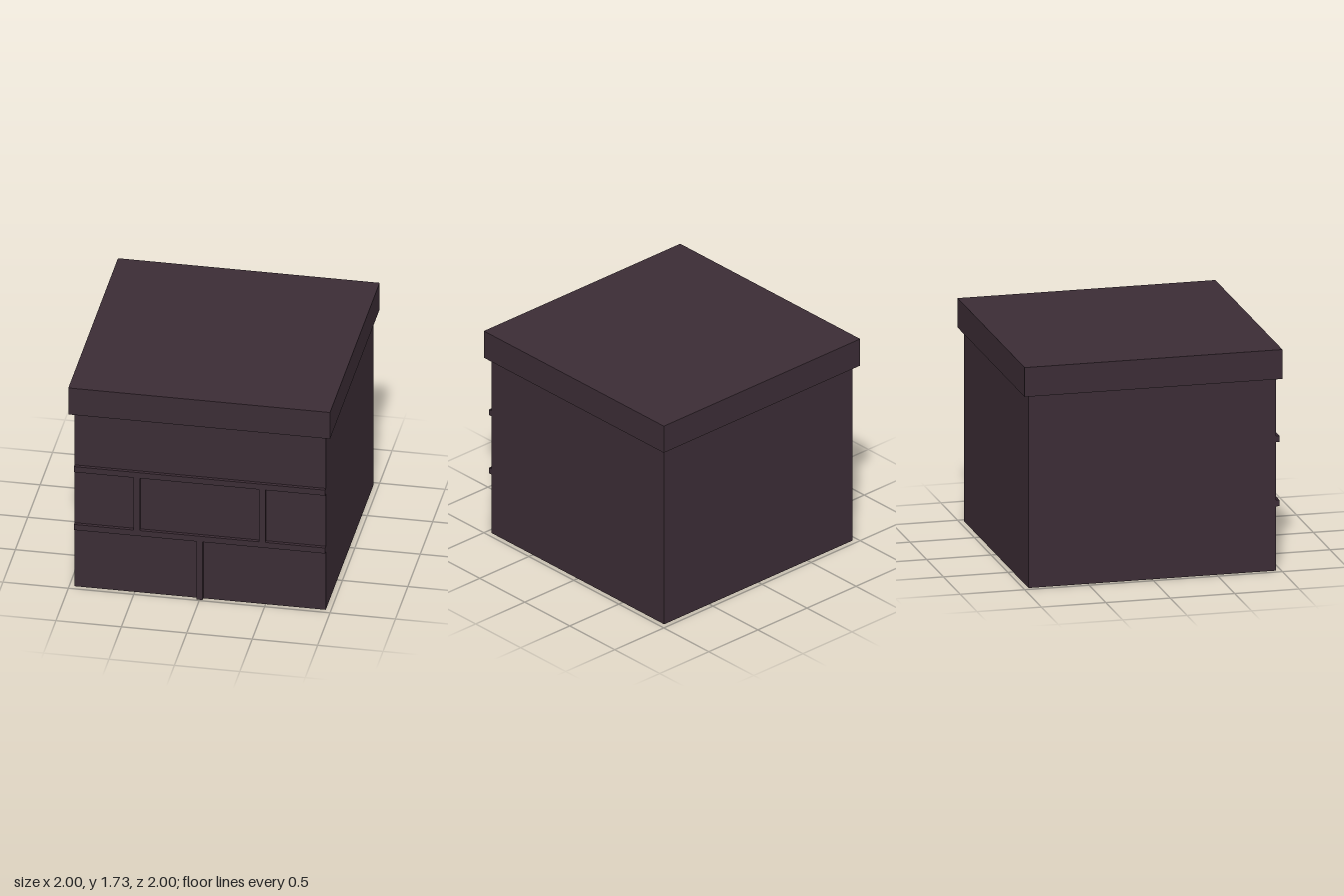
import * as THREE from 'three';

export function createModel() {
  const group = new THREE.Group();
  const darkPlum = new THREE.MeshStandardMaterial({ color: 0x3b2c35 });
  darkPlum.name = 'darkPlum';

  // Box given by its extents on each axis
  function block(name, [x0, x1], [y0, y1], [z0, z1]) {
    const mesh = new THREE.Mesh(new THREE.BoxGeometry(x1 - x0, y1 - y0, z1 - z0), darkPlum);
    mesh.name = name;
    mesh.position.set((x0 + x1) / 2, (y0 + y1) / 2, (z0 + z1) / 2);
    group.add(mesh);
  }

  // Main block and overhanging cap
  block('body', [-0.96, 0.96], [0, 1.503], [-0.96, 0.96]);
  block('cap', [-1, 1], [1.503, 1.732], [-1, 1]);

  // Raised mortar lines on the front face
  const depth = [0.96, 0.987];
  const half = 0.024;
  for (const y of [0.525, 1.025]) {
    block('horizontalMortar', [-0.96, 0.96], [y - half, y + half], depth);
  }
  block('lowerMortar', [-half, half], [0, 0.525 - half], depth);
  for (const x of [-0.48, 0.48]) {
    block('upperMortar', [x - half, x + half], [0.525 + half, 1.025 - half], depth);
  }

  return group;
}
